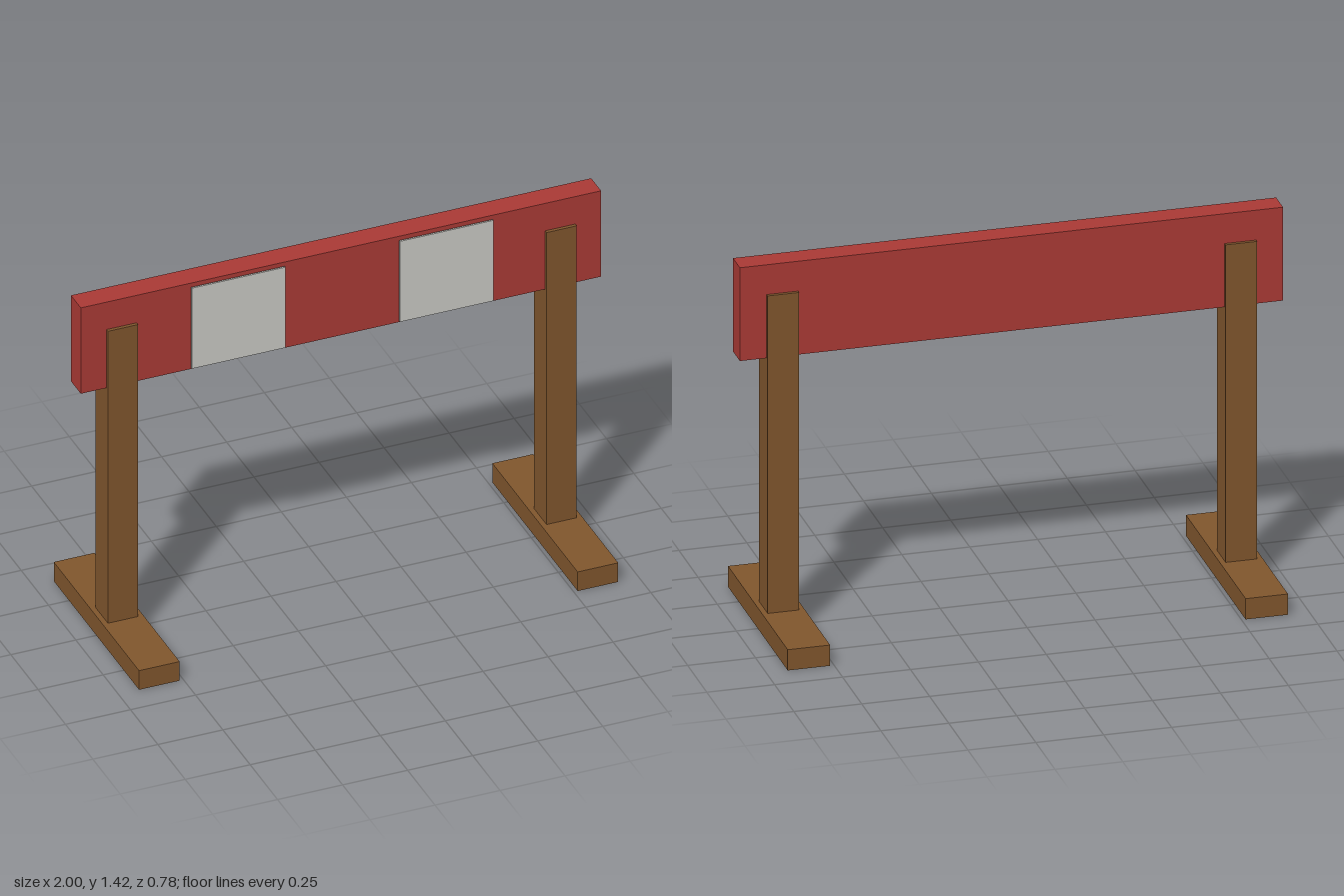
import * as THREE from 'three';

export function createModel() {
  const material = (name, color) => {
    const m = new THREE.MeshStandardMaterial({ color });
    m.name = name;
    return m;
  };
  const wood = material('brown wood', 0x80562d);
  const red = material('red paint', 0xaa3a35);
  const white = material('off-white paint', 0xc9c9c4);

  const model = new THREE.Group();
  model.name = 'barrier';

  // Box given by its size and centre
  const box = (name, mat, [w, h, d], [x, y, z]) => {
    const mesh = new THREE.Mesh(new THREE.BoxGeometry(w, h, d), mat);
    mesh.name = name;
    mesh.position.set(x, y, z);
    model.add(mesh);
  };

  // Crossboard
  box('board', red, [2, 0.36, 0.09], [0, 1.24, 0]);

  // Mirrored foot, post and front panel
  for (const [side, s] of [['left', 1], ['right', -1]]) {
    box(`${side}Foot`, wood, [0.156, 0.08, 0.78], [s * 0.843, 0.04, 0]);
    box(`${side}Post`, wood, [0.116, 1.225, 0.116], [s * 0.843, 0.6925, 0]);
    box(`${side}Panel`, white, [0.36, 0.338, 0.007], [s * 0.4, 1.24, 0.058]);
  }

  return model;
}
